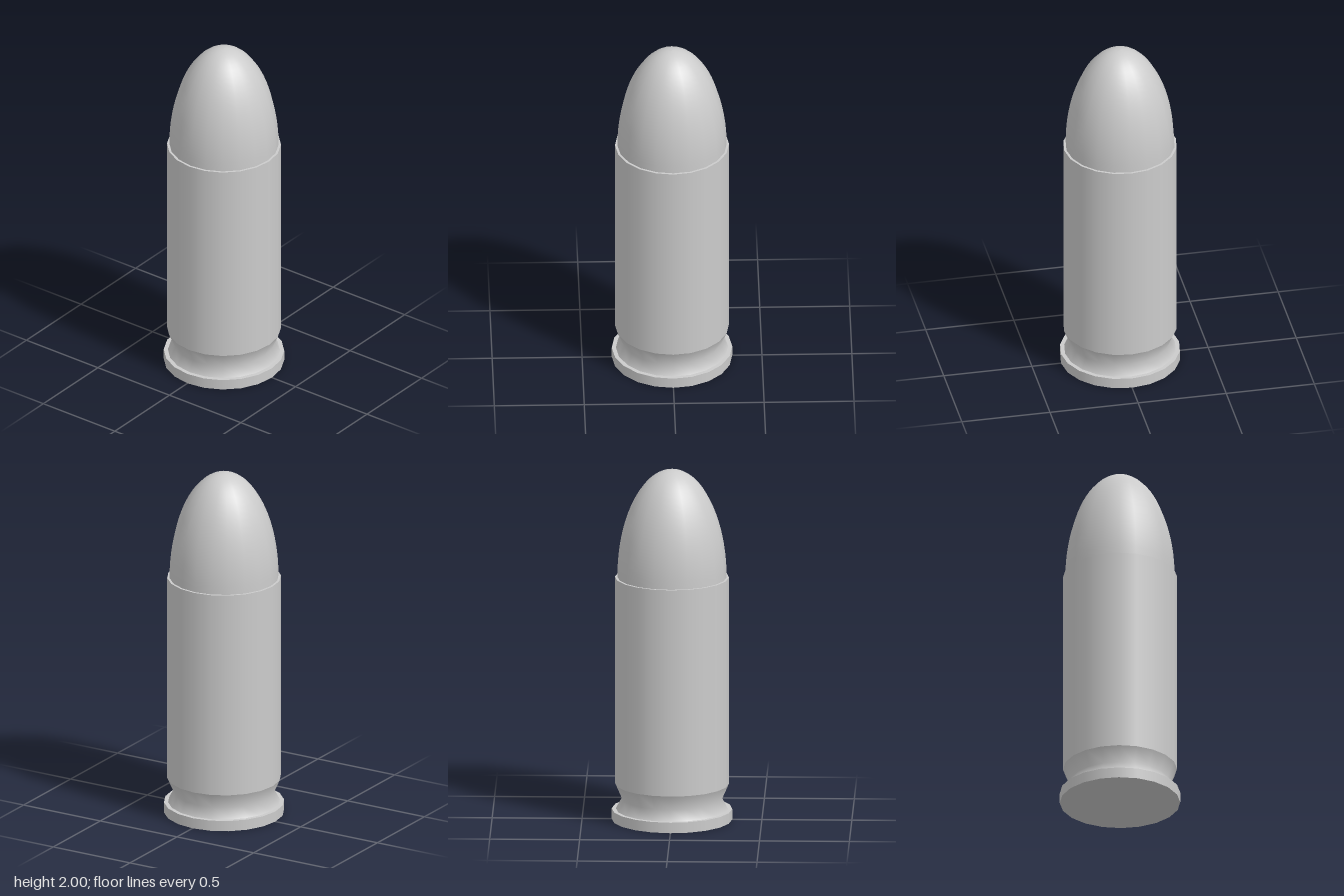
import * as THREE from 'three';

const SIDES = 20;

export function createModel() {
  const model = new THREE.Group();
  model.name = 'cartridge';
  const material = new THREE.MeshStandardMaterial({ color: 0xcccccc });

  // Revolves a [radius, height] profile, listed from bottom to top along the outside
  function turned(name, profile, parent = model) {
    const points = profile.map(([r, y]) => new THREE.Vector2(r, y));
    const mesh = new THREE.Mesh(new THREE.LatheGeometry(points, SIDES), material);
    mesh.name = name;
    parent.add(mesh);
  }

  // Base rim: separate strips keep its edges sharp
  const rim = new THREE.Group();
  rim.name = 'rim';
  model.add(rim);
  turned('rimBottom', [[0, 0], [0.335, 0]], rim);
  turned('rimSide', [[0.335, 0], [0.335, 0.06]], rim);
  turned('rimTop', [[0.335, 0.06], [0.312, 0.06]], rim);

  // Extractor groove, smooth through its waist
  turned('groove', [[0.312, 0.06], [0.28, 0.12], [0.317, 0.205]]);

  // Straight case with a thin lip and inner wall at its mouth
  const casing = new THREE.Group();
  casing.name = 'casing';
  model.add(casing);
  turned('caseWall', [[0.317, 0.205], [0.317, 1.385]], casing);
  turned('caseLip', [[0.317, 1.385], [0.304, 1.385]], casing);

  // Rounded nose: quarter ellipse seated in the case mouth
  const nose = [];
  const steps = 20;
  for (let i = 0; i <= steps; i++) {
    const a = (i / steps) * Math.PI / 2;
    nose.push([i === steps ? 0 : 0.304 * Math.cos(a), 1.385 + 0.615 * Math.sin(a)]);
  }
  turned('nose', nose);

  return model;
}
